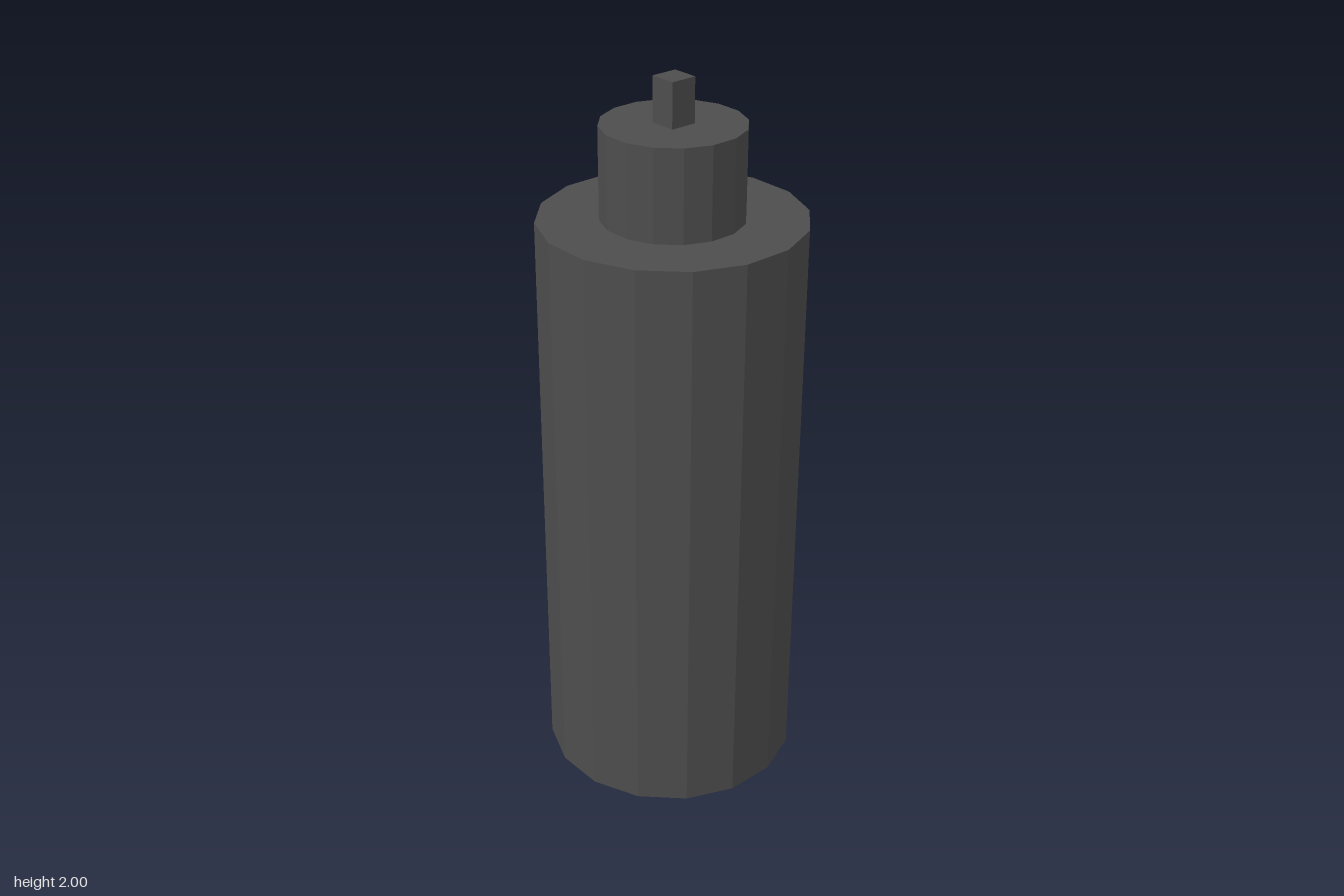
import * as THREE from 'three';

const AXIS_X = 0.075; // the body axis, offset because the side peg sticks out at -x
const SIDES = 16;

export function createModel() {
  const group = new THREE.Group();
  group.name = 'canister';

  const grey = new THREE.MeshStandardMaterial({ color: 0x4d4d4d, flatShading: true, side: THREE.DoubleSide });
  grey.name = 'dark grey';
  const blue = new THREE.MeshStandardMaterial({ color: 0x405c90, flatShading: true });
  blue.name = 'blue';

  const add = (name, geometry, material, x, y) => {
    const mesh = new THREE.Mesh(geometry, material);
    mesh.name = name;
    mesh.position.set(x, y, 0);
    group.add(mesh);
  };

  // faceted shell, closed on top and open below; apothem is the distance to a flat side
  const shell = (apothem, height) => {
    const r = apothem / Math.cos(Math.PI / SIDES);
    const profile = [[r, 0], [r, height], [0, height]].map(([x, y]) => new THREE.Vector2(x, y));
    return new THREE.LatheGeometry(profile, SIDES, Math.PI / SIDES);
  };

  add('body', shell(0.35, 1.63), grey, AXIS_X, 0);
  add('neck', shell(0.1875, 0.25), grey, AXIS_X, 1.63);
  add('topStem', new THREE.BoxGeometry(0.075, 0.12, 0.075), grey, AXIS_X, 1.94);

  // peg passing through the body wall
  add('sidePeg', new THREE.BoxGeometry(0.25, 0.075, 0.075), blue, -0.3, 0.29);

  return group;
}
